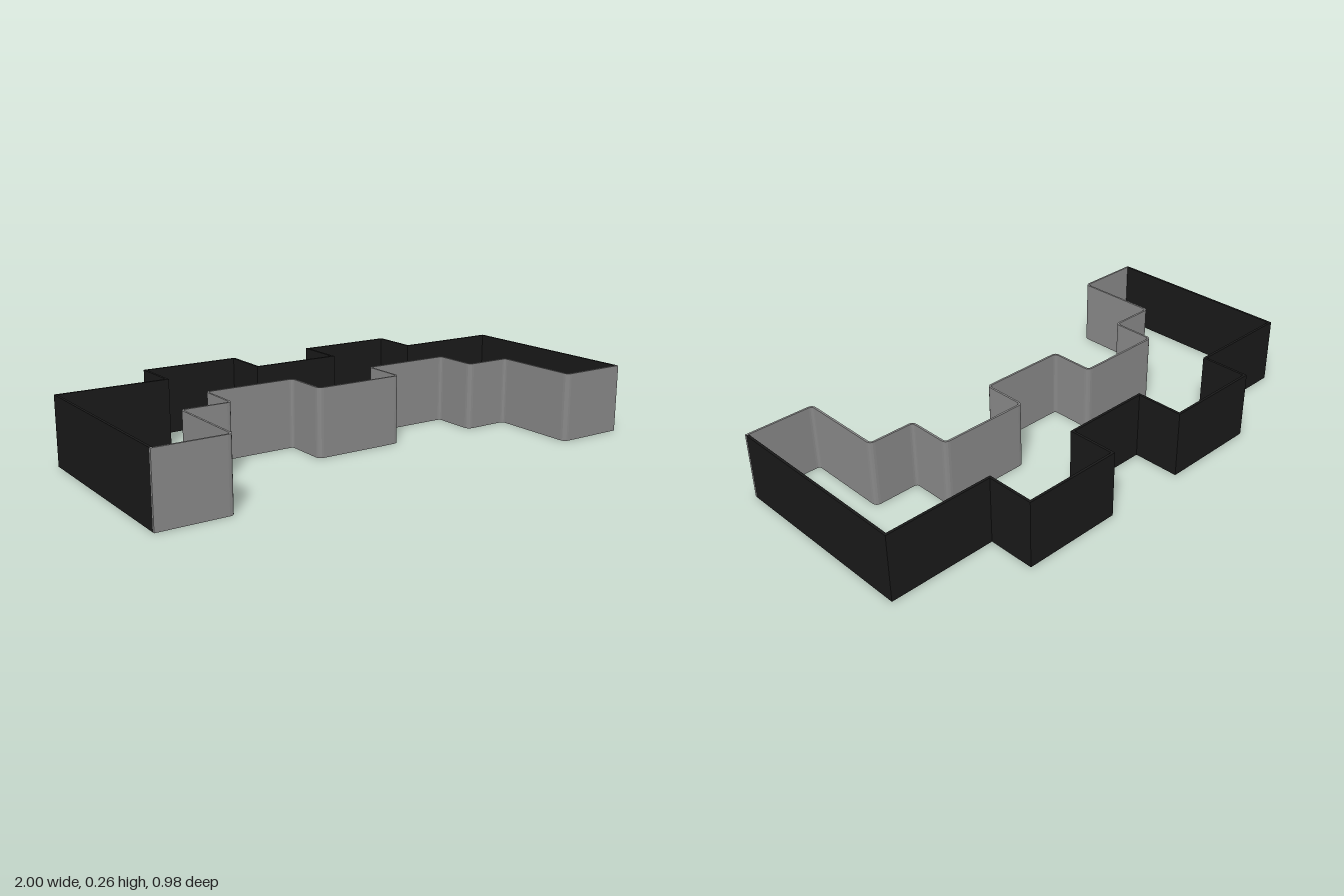
import * as THREE from 'three';

const HEIGHT = 0.265;

// Replace inner corners of an [x, z] polyline by small arcs
function roundCorners(path, radius, steps = 4) {
  const pts = path.map(([x, z]) => new THREE.Vector2(x, -z));
  if (!radius) return pts;
  const out = [pts[0]];
  for (let i = 1; i < pts.length - 1; i++) {
    const c = pts[i];
    const a = c.clone().add(pts[i - 1].clone().sub(c).setLength(radius));
    const b = c.clone().add(pts[i + 1].clone().sub(c).setLength(radius));
    out.push(...new THREE.QuadraticBezierCurve(a, c, b).getPoints(steps));
  }
  out.push(pts[pts.length - 1]);
  return out;
}

// Upright sheet of even thickness following a plan path, mitred at each bend
function sheet(name, path, thickness, radius, material) {
  const pts = roundCorners(path, radius);
  const dirs = pts.slice(1).map((p, i) => p.clone().sub(pts[i]).normalize());
  const side = (s) => pts.map((p, i) => {
    const d0 = dirs[Math.max(i - 1, 0)];
    const d1 = dirs[Math.min(i, dirs.length - 1)];
    const n = new THREE.Vector2(-d0.y - d1.y, d0.x + d1.x).normalize();
    const reach = (s * thickness / 2) / (n.x * -d1.y + n.y * d1.x);
    return p.clone().addScaledVector(n, reach);
  });
  const shape = new THREE.Shape([...side(1), ...side(-1).reverse()]);
  const geometry = new THREE.ExtrudeGeometry(shape, { depth: HEIGHT, bevelEnabled: false });
  geometry.rotateX(-Math.PI / 2);
  const mesh = new THREE.Mesh(geometry, material);
  mesh.name = name;
  return mesh;
}

// Complete a right-left symmetric path from its +x half
const mirrored = (half) => [...half.map(([x, z]) => [-x, z]), ...half.slice().reverse()];

export function createModel() {
  const group = new THREE.Group();
  group.name = 'steppedEnclosure';
  const dark = new THREE.MeshStandardMaterial({ color: 0x191919 });
  const grey = new THREE.MeshStandardMaterial({ color: 0x888888 });

  // Dark back and side walls, with two square bays at the back
  group.add(sheet('backWall', mirrored([
    [0.995, 0.481], [0.995, -0.298], [0.567, -0.298],
    [0.567, -0.488], [0.177, -0.488], [0.177, -0.298],
  ]), 0.01, 0, dark));

  // Grey front facade, with softly rounded bends
  group.add(sheet('frontFacade', mirrored([
    [1, 0.485], [0.725, 0.485], [0.725, 0.139], [0.538, 0.139],
    [0.538, -0.039], [0.178, -0.039], [0.178, 0.139],
  ]), 0.008, 0.018, grey));

  return group;
}
